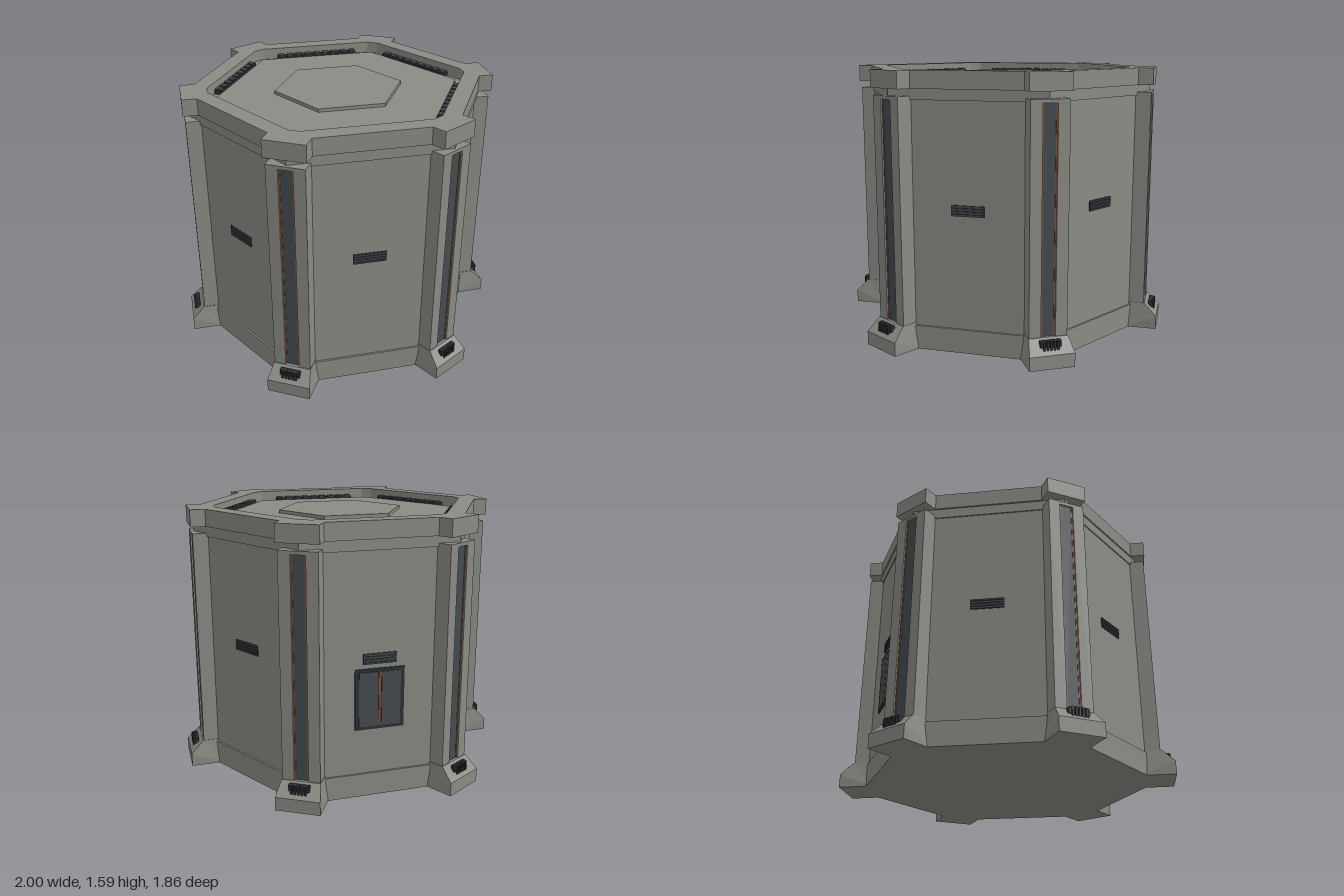
import * as THREE from 'three';

const mat = (name, color) => Object.assign(new THREE.MeshStandardMaterial({ color }), { name });

export function createModel() {
  const stone = mat('warm grey', 0x8a8b84);
  const steel = mat('slate panel', 0x434b4f);
  const dark = mat('dark vent', 0x2b3033);
  const rust = mat('rust trim', 0x8a4f2a);
  const model = new THREE.Group();
  model.name = 'hexagonalBuilding';

  const add = (parent, name, geo, material) => {
    const mesh = new THREE.Mesh(geo, material);
    mesh.name = name;
    parent.add(mesh);
    return mesh;
  };
  const box = (parent, name, material, x0, x1, y0, y1, z0, z1) => {
    const geo = new THREE.BoxGeometry(x1 - x0, y1 - y0, z1 - z0);
    geo.translate((x0 + x1) / 2, (y0 + y1) / 2, (z0 + z1) / 2);
    return add(parent, name, geo, material);
  };
  // Plan outline raised from y0 to y1
  const raise = (shape, y0, y1) =>
    new THREE.ExtrudeGeometry(shape, { depth: y1 - y0, bevelEnabled: false })
      .rotateX(-Math.PI / 2).translate(0, y0, 0);
  // Hexagon by its flat distance, with optional clipped corners
  const hexPoints = (apothem, cut = 0) => {
    const R = apothem / Math.cos(Math.PI / 6);
    const corner = (i) => new THREE.Vector2(Math.cos(i * Math.PI / 3), Math.sin(i * Math.PI / 3)).multiplyScalar(R);
    const pts = [];
    for (let i = 0; i < 6; i++) {
      const p = corner(i);
      if (!cut) pts.push(p);
      else pts.push(p.clone().lerp(corner(i - 1), cut / R), p.clone().lerp(corner(i + 1), cut / R));
    }
    return pts;
  };
  const hex = (name, apothem, y0, y1) =>
    add(model, name, raise(new THREE.Shape(hexPoints(apothem)), y0, y1), stone);

  // Hexagonal body, plinth, top band and roof
  hex('walls', 0.774, 0.02, 1.48);
  hex('plinth', 0.785, 0, 0.14);
  hex('upperBand', 0.781, 1.43, 1.49);
  hex('roofGutter', 0.72, 1.48, 1.52);
  hex('roofDeck', 0.64, 1.5, 1.535);
  hex('roofHatch', 0.335, 1.53, 1.555);

  const rim = new THREE.Shape(hexPoints(0.79));
  rim.holes.push(new THREE.Path(hexPoints(0.69, 0.04).reverse()));
  add(model, 'roofRim', raise(rim, 1.49, 1.59), stone);

  // Corner pillars, each with a recessed strip, a cap and a sloped foot
  const pillarPlan = new THREE.Shape([
    [0.75, -0.11], [0.92, -0.11], [0.92, -0.042], [0.9, -0.042],
    [0.9, 0.042], [0.92, 0.042], [0.92, 0.11], [0.75, 0.11],
  ].map(([x, y]) => new THREE.Vector2(x, y)));
  const pillarGeo = raise(pillarPlan, 0.1, 1.43);

  const footSide = new THREE.Shape([
    [0.8, 0], [1, 0], [1, 0.08], [0.925, 0.155], [0.8, 0.155],
  ].map(([x, y]) => new THREE.Vector2(x, y)));
  const footGeo = new THREE.ExtrudeGeometry(footSide, { depth: 0.26, bevelEnabled: false }).translate(0, 0, -0.13);
  const fp = footGeo.attributes.position;
  for (let i = 0; i < fp.count; i++) if (fp.getY(i) > 0.1) fp.setZ(i, fp.getZ(i) * 0.87);
  footGeo.computeVertexNormals();

  for (let i = 0; i < 6; i++) {
    const corner = new THREE.Group();
    corner.name = 'cornerPillar' + (i + 1);
    corner.rotation.y = i * Math.PI / 3;
    model.add(corner);
    add(corner, 'pillar', pillarGeo, stone);
    box(corner, 'pillarCap', stone, 0.75, 0.92, 1.43, 1.45, -0.11, 0.11);
    box(corner, 'pillarStrip', steel, 0.895, 0.908, 0.15, 1.43, -0.034, 0.034);
    for (const s of [-1, 1])
      box(corner, 'stripTrim', rust, 0.895, 0.911, 0.15, 1.43, s * 0.038 - 0.004, s * 0.038 + 0.004);
    add(corner, 'foot', footGeo, stone);

    // Rim block with its inner end kept inside the rim
    box(corner, 'rimBlock', stone, 0.82, 0.93, 1.49, 1.59, -0.12, 0.12);

    // Finned grille on the foot slope
    box(corner, 'footGrille', dark, 0.945, 0.972, 0.115, 0.15, -0.06, 0.06);
    for (let k = -2; k <= 2; k++)
      box(corner, 'footGrilleFin', dark, 0.955, 0.982, 0.1, 0.152, k * 0.02 - 0.006, k * 0.02 + 0.006);
  }

  // Six sides: a slatted wall vent and a gutter grille each
  for (let i = 0; i < 6; i++) {
    const side = new THREE.Group();
    side.name = 'side' + (i + 1);
    side.rotation.y = i * Math.PI / 3;
    model.add(side);
    box(side, 'wallVent', dark, -0.097, 0.097, 0.795, 0.858, 0.77, 0.777);
    for (let k = 0; k < 4; k++) {
      const y = 0.797 + k * 0.0165;
      box(side, 'ventSlat', steel, -0.094, 0.094, y, y + 0.009, 0.77, 0.782);
    }
    box(side, 'gutterGrille', dark, -0.265, 0.265, 1.51, 1.545, 0.645, 0.689);
    for (let k = 0; k < 9; k++) {
      const x = -0.24 + k * 0.06;
      box(side, 'gutterFin', steel, x - 0.02, x + 0.02, 1.51, 1.553, 0.648, 0.686);
    }
    if (i === 3) {
      // Framed double window on the back
      box(side, 'windowFrame', dark, -0.145, 0.145, 0.41, 0.77, 0.77, 0.78);
      for (const s of [-1, 1])
        box(side, 'windowPane', steel, s * 0.066 - 0.056, s * 0.066 + 0.056, 0.43, 0.75, 0.776, 0.784);
      box(side, 'windowDivider', rust, -0.006, 0.006, 0.43, 0.75, 0.776, 0.784);
    }
  }
  return model;
}
